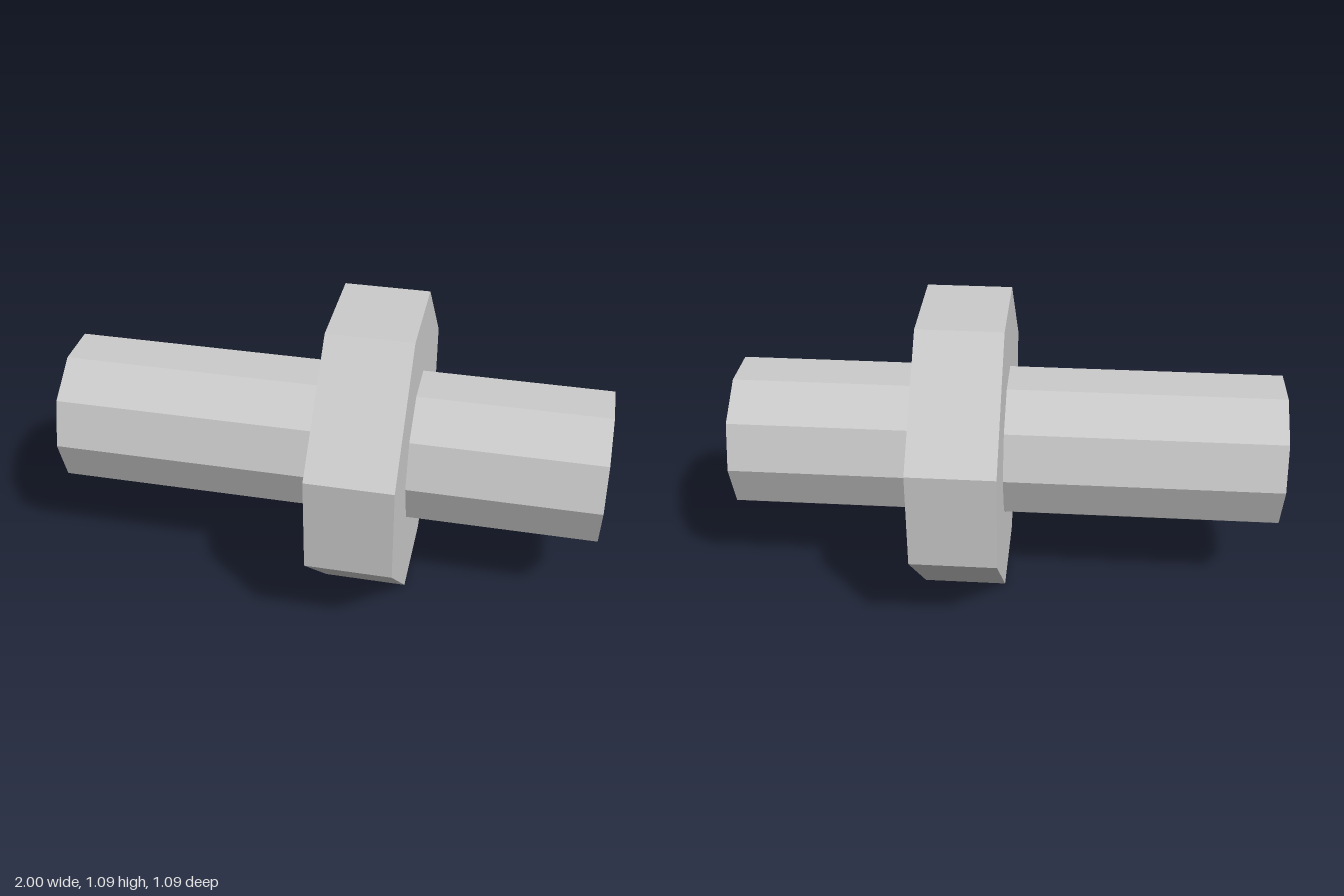
import * as THREE from 'three';

export function createModel() {
  const group = new THREE.Group();
  const material = new THREE.MeshStandardMaterial({ color: 0xcccccc, flatShading: true });
  const axisY = 0.546;

  // Ten-sided shaft along x, with a corner pointing to the front
  const shaftGeometry = new THREE.CylinderGeometry(0.283, 0.283, 2, 10);
  shaftGeometry.rotateZ(-Math.PI / 2);
  const shaft = new THREE.Mesh(shaftGeometry, material);
  shaft.name = 'shaft';
  shaft.position.y = axisY;
  group.add(shaft);

  // Collar: a square block with large cut corners
  const half = axisY, flat = 0.182, width = 0.31;
  const outline = new THREE.Shape([
    [flat, -half], [half, -flat], [half, flat], [flat, half],
    [-flat, half], [-half, flat], [-half, -flat], [-flat, -half],
  ].map(([x, y]) => new THREE.Vector2(x, y)));
  const collarGeometry = new THREE.ExtrudeGeometry(outline, { depth: width, bevelEnabled: false });
  collarGeometry.rotateY(Math.PI / 2);
  const collar = new THREE.Mesh(collarGeometry, material);
  collar.name = 'collar';
  collar.position.y = axisY;
  group.add(collar);

  return group;
}
